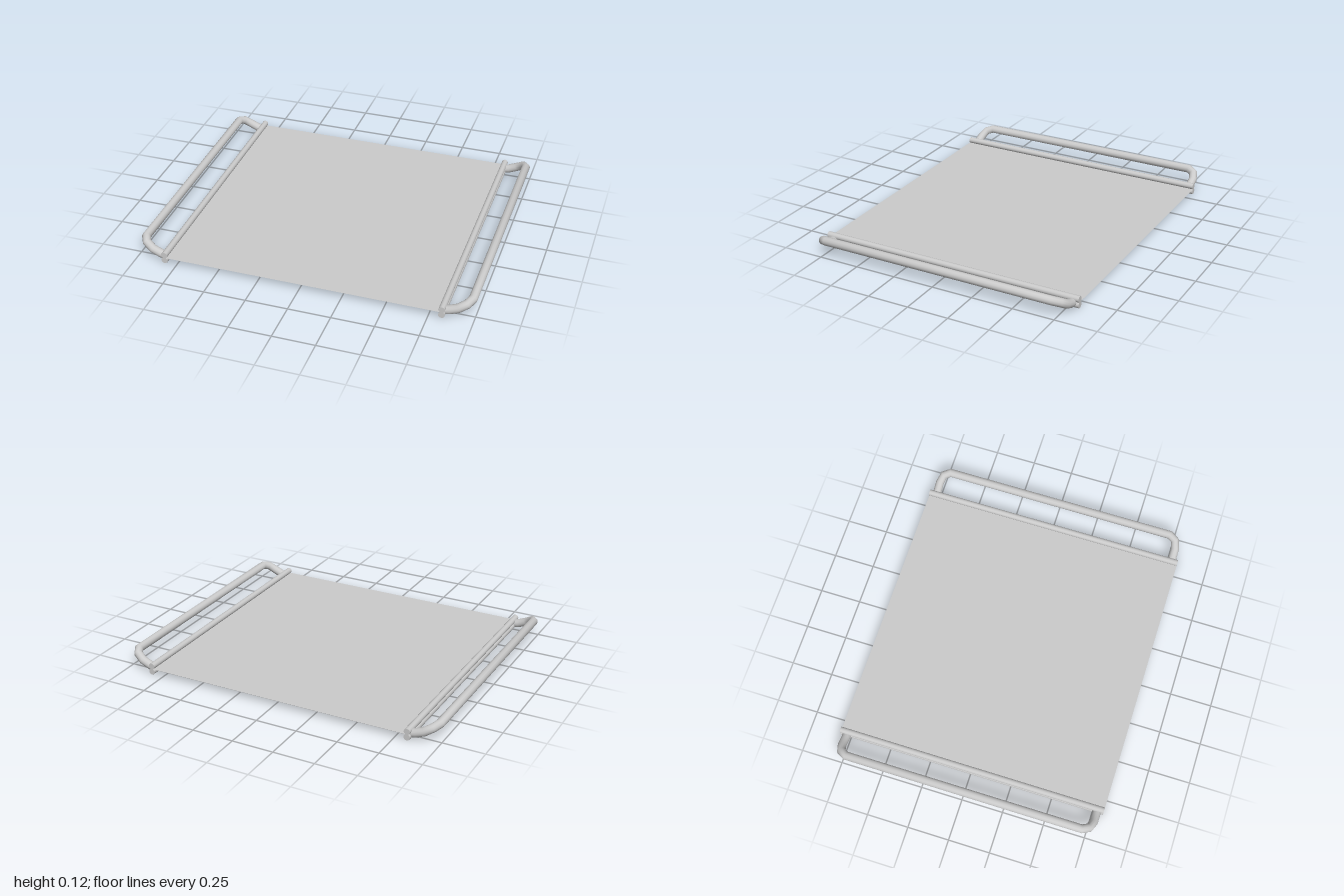
import * as THREE from 'three';

const material = new THREE.MeshStandardMaterial({ color: 0xcccccc, side: THREE.DoubleSide });
const LENGTH = 1.63;

// Path that puts one tube ring exactly on each given point
class PointPath extends THREE.Curve {
  constructor(points) {
    super();
    this.points = points;
  }
  getPointAt(u, target = new THREE.Vector3()) {
    return target.copy(this.points[Math.round(u * (this.points.length - 1))]);
  }
  getTangentAt(u, target = new THREE.Vector3()) {
    const p = this.points, last = p.length - 1, i = Math.round(u * last);
    const dir = (a, b) => new THREE.Vector3().subVectors(p[b], p[a]).normalize();
    if (i > 0) target.add(dir(i - 1, i));
    if (i < last) target.add(dir(i, i + 1));
    return target.normalize();
  }
}

function addMesh(parent, name, geometry) {
  const mesh = new THREE.Mesh(geometry, material);
  mesh.name = name;
  parent.add(mesh);
  return mesh;
}

// Handle: bowed outward and upward, with rounded corners
function handleGeometry() {
  const half = [
    [0.825, 0.03, 0.775], [0.86, 0.037, 0.775], [0.909, 0.058, 0.775],
    [0.952, 0.085, 0.761], [0.974, 0.097, 0.722],
  ];
  const points = half.map(p => new THREE.Vector3(...p));
  for (const [x, y, z] of [...half].reverse()) points.push(new THREE.Vector3(x, y, -z));
  return new THREE.TubeGeometry(new PointPath(points), points.length - 1, 0.026, 12, false);
}

export function createModel() {
  const model = new THREE.Group();
  model.name = 'slingTray';

  // Flat sheet, clamped between the upper and lower rods of each side
  const sheet = new THREE.PlaneGeometry(1.646, LENGTH).rotateX(-Math.PI / 2);
  addMesh(model, 'sheet', sheet).position.y = 0.037;

  // Each side has two stacked rods and a handle; the second is a half turn of the first
  const rod = new THREE.CylinderGeometry(0.019, 0.019, LENGTH, 12).rotateX(Math.PI / 2);
  const handle = handleGeometry();
  for (const [name, turn] of [['left', 0], ['right', Math.PI]]) {
    const side = new THREE.Group();
    side.name = name + 'Side';
    side.rotation.y = turn;
    addMesh(side, name + 'LowerRod', rod).position.set(0.823, 0.019, 0);
    addMesh(side, name + 'UpperRod', rod).position.set(0.823, 0.053, 0);
    addMesh(side, name + 'Handle', handle);
    model.add(side);
  }
  return model;
}
